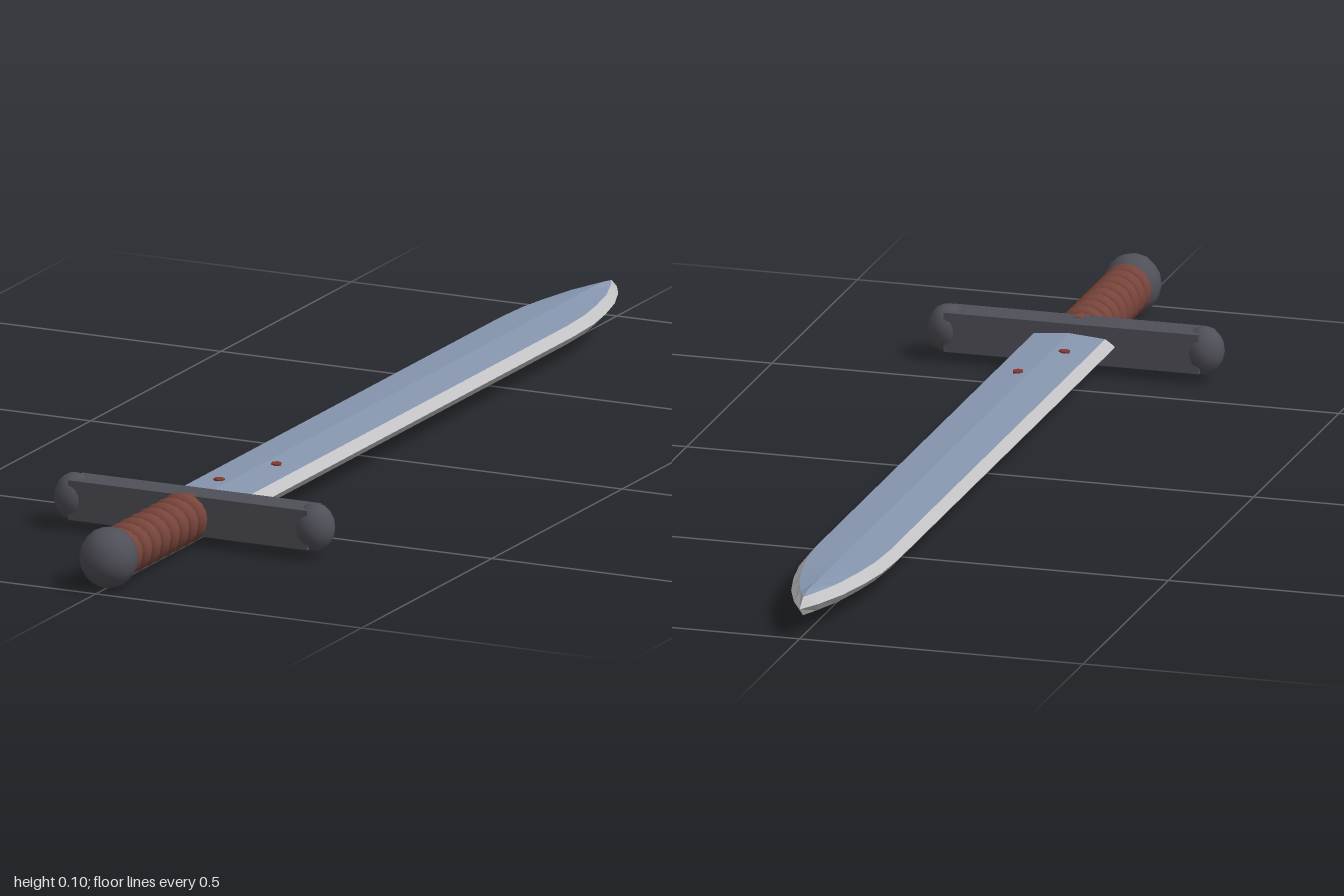
import * as THREE from 'three';

const AXIS_Y = 0.055;
const mat = (name, color, extra = {}) => Object.assign(new THREE.MeshStandardMaterial({ color, ...extra }), { name });

function add(parent, name, geometry, material, x = 0, y = 0, z = 0) {
  const mesh = new THREE.Mesh(geometry, material);
  mesh.name = name;
  mesh.position.set(x, y, z);
  parent.add(mesh);
  return mesh;
}

// Flat-shaded mesh geometry from a list of quads
function quadGeometry(quads) {
  const pos = [];
  for (const [a, b, c, d] of quads) for (const p of [a, b, c, a, c, d]) pos.push(...p);
  const g = new THREE.BufferGeometry();
  g.setAttribute('position', new THREE.Float32BufferAttribute(pos, 3));
  g.computeVertexNormals();
  return g;
}

// Blade faces and sharpened edges, mirrored across both axes
function buildBlade(steel, edgeSteel) {
  // outer half width, outer z, inner half width, inner z
  const stations = [
    [0.077, 0.595, 0.063, 0.583], [0.077, -0.68, 0.063, -0.68],
    [0.073, -0.76, 0.059, -0.755], [0.062, -0.83, 0.049, -0.82],
    [0.045, -0.9, 0.034, -0.89], [0.022, -0.96, 0.014, -0.947], [0, -1, 0, -0.98],
  ];
  const ridge = 0.021, shoulder = 0.016;
  const faces = [], edges = [];
  for (const sx of [1, -1]) for (const sy of [1, -1]) {
    const p = (x, y, z) => [x * sx, y * sy, z];
    const push = (list, q) => list.push(sx * sy > 0 ? q : q.reverse());
    const thick = (i) => (i === stations.length - 1 ? [shoulder, shoulder] : [ridge, shoulder]);
    for (let i = 0; i + 1 < stations.length; i++) {
      const [w0, z0, v0, y0] = stations[i], [w1, z1, v1, y1] = stations[i + 1];
      const [r0, s0] = thick(i), [r1, s1] = thick(i + 1);
      push(faces, [p(0, r0, y0), p(v0, s0, y0), p(v1, s1, y1), p(0, r1, y1)]);
      push(edges, [p(v0, s0, y0), p(w0, 0, z0), p(w1, 0, z1), p(v1, s1, y1)]);
    }
    // bevel closing the blade at the guard
    const [w, z, v, zi] = stations[0];
    push(edges, [p(0, 0, z), p(w, 0, z), p(v, shoulder, zi), p(0, ridge, zi)]);
  }
  const blade = new THREE.Group();
  blade.name = 'blade';
  add(blade, 'bladeFaces', quadGeometry(faces), steel);
  add(blade, 'bladeEdges', quadGeometry(edges), edgeSteel);
  return blade;
}

export function createModel() {
  const steel = mat('blue steel', 0x8797b0);
  const edgeSteel = mat('bright edge steel', 0xc2c2c4);
  const iron = mat('dark iron', 0x505059);
  const leather = mat('brown leather', 0x7a463c);
  const red = mat('dark red', 0x84382e);

  const model = new THREE.Group();
  model.name = 'sword';
  const sword = new THREE.Group();
  sword.name = 'swordParts';
  sword.position.y = AXIS_Y;
  model.add(sword);

  sword.add(buildBlade(steel, edgeSteel));

  // Small stains on both faces of the blade
  for (const [x, z, turn] of [[0.021, 0.35, 0.3], [-0.021, 0.483, 1]]) {
    for (const side of [1, -1]) {
      const stain = add(sword, 'stain', new THREE.CylinderGeometry(0.011, 0.011, 0.006, 6), red, x, side * 0.019, z);
      stain.rotation.y = turn;
      stain.scale.x = 0.85;
    }
  }

  // Cross guard with a rounded knob at each end
  add(sword, 'guardBar', new THREE.BoxGeometry(0.45, 0.069, 0.056), iron, 0, 0, 0.62);
  const ball = new THREE.IcosahedronGeometry(1, 2);
  for (const side of [1, -1]) {
    add(sword, 'guardKnob', ball, iron, side * 0.226, 0, 0.621).scale.set(0.035, 0.042, 0.035);
  }

  // Grip core wrapped in slightly slanted rings
  const core = add(sword, 'gripCore', new THREE.CylinderGeometry(0.036, 0.036, 0.3, 16), leather, 0, 0, 0.78);
  core.rotation.x = Math.PI / 2;
  for (let i = 0; i < 8; i++) {
    const ring = add(sword, 'gripRing', new THREE.TorusGeometry(0.0295, 0.0155, 8, 18), leather, 0, 0, 0.665 + i * 0.0355);
    ring.rotation.x = 0.1;
  }

  // Pommel
  add(sword, 'pommel', ball, iron, 0, 0, 0.95).scale.set(0.05, 0.053, 0.05);

  return model;
}
